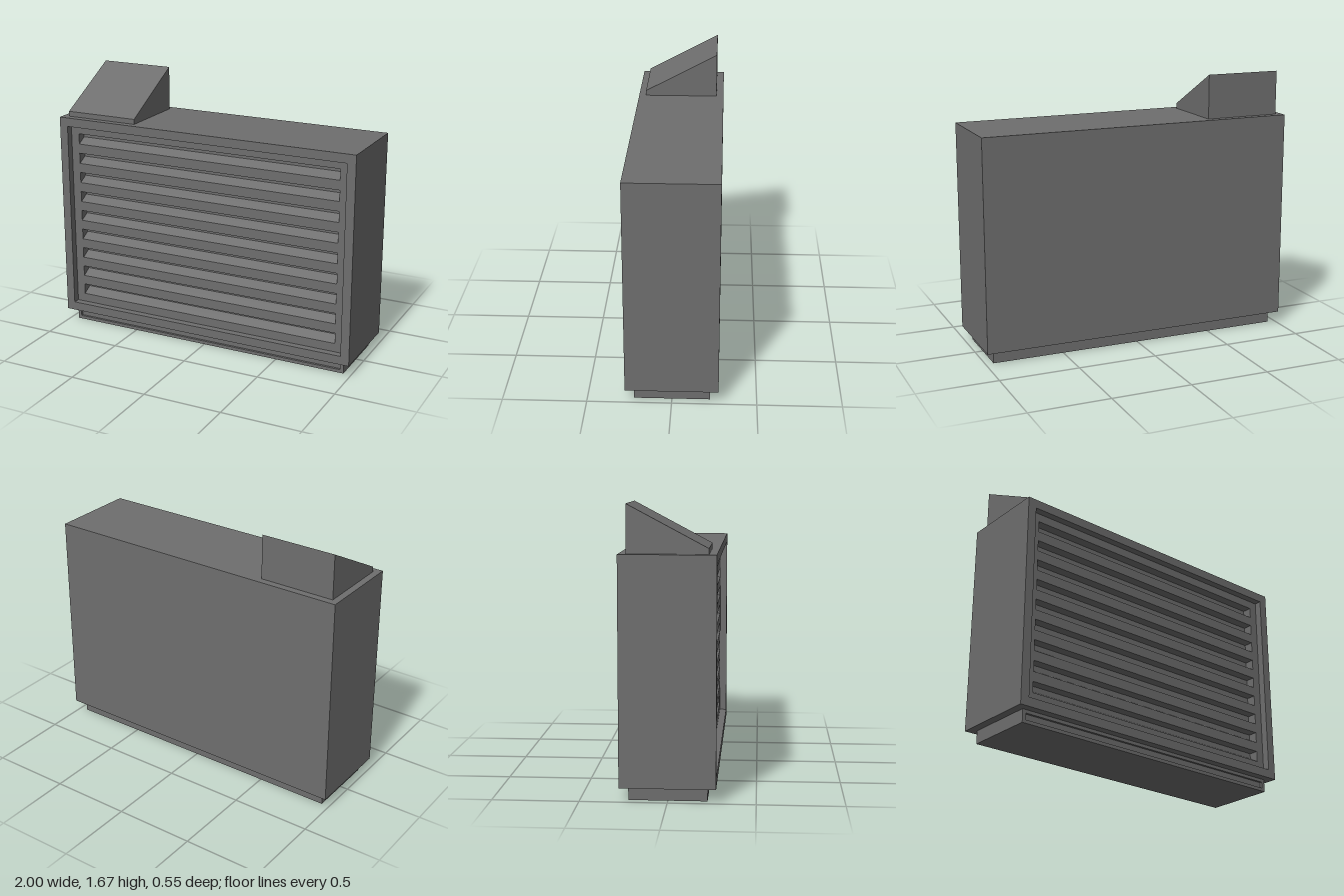
import * as THREE from 'three';

const material = new THREE.MeshStandardMaterial({ color: 0x6e6e6e, flatShading: true });

// Adds the points of a rectangle to a shape or path.
function rect(target, x0, y0, x1, y1) {
  target.moveTo(x0, y0);
  target.lineTo(x1, y0);
  target.lineTo(x1, y1);
  target.lineTo(x0, y1);
  target.closePath();
  return target;
}

// Rectangular plate from z0 to z1 with rectangular holes.
function plate(outer, z0, z1, holes = []) {
  const shape = rect(new THREE.Shape(), ...outer);
  for (const h of holes) shape.holes.push(rect(new THREE.Path(), ...h));
  const geometry = new THREE.ExtrudeGeometry(shape, { depth: z1 - z0, bevelEnabled: false });
  return geometry.translate(0, 0, z0);
}

// Prism along x from a side profile of [z, y] points.
function sideProfile(points, x0, x1) {
  const shape = new THREE.Shape(points.map(([z, y]) => new THREE.Vector2(-z, y)));
  const geometry = new THREE.ExtrudeGeometry(shape, { depth: x1 - x0, bevelEnabled: false });
  return geometry.rotateY(Math.PI / 2).translate(x0, 0, 0);
}

export function createModel() {
  const group = new THREE.Group();
  const add = (name, geometry) => {
    const mesh = new THREE.Mesh(geometry, material);
    mesh.name = name;
    group.add(mesh);
  };

  // Cabinet in three layers: solid rear, slotted panel, raised front frame
  const outer = [-1, 0.08, 1, 1.398];
  const zRear = 0.17, zPanel = 0.23, zFront = 0.275;
  const slots = [];
  for (let i = 0; i < 9; i++) {
    const y = 0.224 + i * 0.129;
    slots.push([-0.89, y - 0.034, 0.89, y + 0.034]);
  }
  add('cabinetRear', plate(outer, -0.275, zRear));
  add('louvrePanel', plate(outer, zRear, zPanel, slots));
  add('frontFrame', plate(outer, zPanel, zFront, [[-0.945, 0.135, 0.945, 1.342]]));

  // Sloping floor inside each slot
  for (const [x0, y0, x1, y1] of slots) {
    add('louvreSlope', sideProfile([[zPanel, y0], [zRear, y0], [zRear, (y0 + y1) / 2]], x0, x1));
  }

  // Plinth with a shallow recess along its front
  const plinth = [-0.95, 0, 0.95, 0.08];
  add('plinth', plate(plinth, -0.225, 0.21));
  add('plinthFront', plate(plinth, 0.21, 0.225, [[-0.927, 0.021, 0.927, 0.06]]));

  // Slanted hood on the top right corner
  add('hood', sideProfile([[0.23, 1.398], [0.23, 1.43], [-0.23, 1.675], [-0.23, 1.398]], -0.958, -0.48));

  return group;
}
